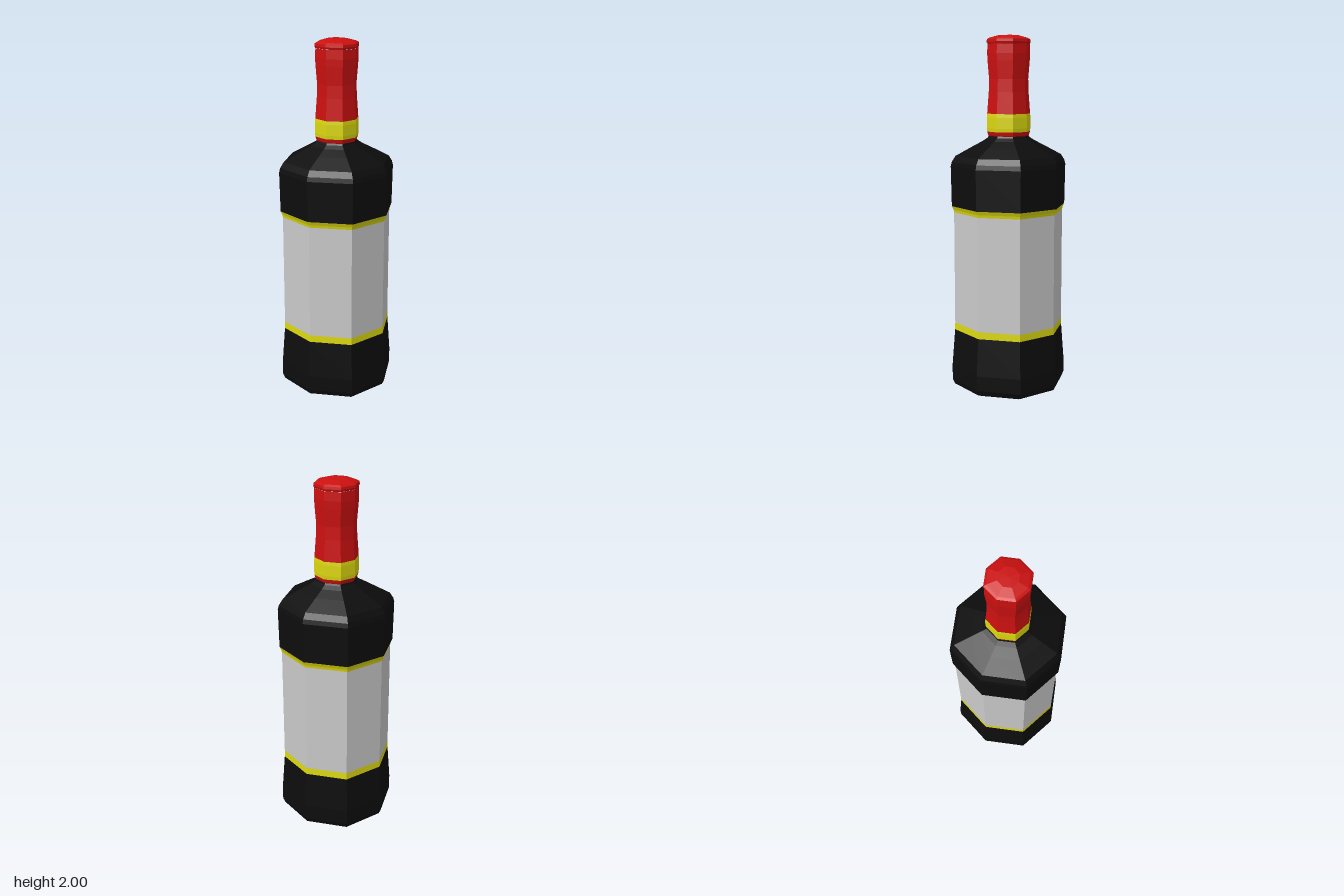
import * as THREE from 'three';

const material = (name, color, flatShading = true) => {
  const m = new THREE.MeshStandardMaterial({ color, flatShading });
  m.name = name;
  return m;
};

// Eight-sided turned band; the diagonal corners stand slightly further out
function band(name, mat, profile) {
  const geo = new THREE.LatheGeometry(profile.map(([r, y]) => new THREE.Vector2(r, y)), 8);
  const p = geo.attributes.position;
  for (let i = 0; i < p.count; i++) {
    const x = p.getX(i), z = p.getZ(i);
    if (Math.abs(x) > 1e-4 && Math.abs(z) > 1e-4) p.setXYZ(i, x * 1.035, p.getY(i), z * 1.035);
  }
  geo.computeVertexNormals();
  const mesh = new THREE.Mesh(geo, mat);
  mesh.name = name;
  return mesh;
}

export function createModel() {
  const black = material('black glass', 0x0d0d0d);
  const yellow = material('yellow trim', 0xdcd810);
  const paper = material('label paper', 0xcacaca);
  const red = material('red foil', 0xcc1010);

  const bottle = new THREE.Group();
  bottle.name = 'bottle';
  bottle.add(
    // Body, from the base up
    band('base', black, [[0, 0], [0.28, 0.004], [0.306, 0.015], [0.319, 0.045], [0.319, 0.13], [0.303, 0.34]]),
    band('lowerLabelTrim', yellow, [[0.303, 0.34], [0.302, 0.38]]),
    band('label', paper, [[0.302, 0.38], [0.302, 1.02]]),
    band('upperLabelTrim', yellow, [[0.302, 1.02], [0.305, 1.035], [0.314, 1.055]]),
    band('shoulder', black, [[0.314, 1.055], [0.318, 1.28], [0.312, 1.305], [0.292, 1.337],
      [0.2, 1.388], [0.14, 1.42], [0.115, 1.437], [0.108, 1.45]]),
    // Foil-wrapped neck
    band('neckFoot', red, [[0.108, 1.443], [0.113, 1.452], [0.118, 1.47]]),
    band('neckTrim', yellow, [[0.118, 1.47], [0.12, 1.49], [0.12, 1.55], [0.118, 1.57]]),
    band('neck', red, [[0.118, 1.57], [0.109, 1.69], [0.107, 1.76], [0.115, 1.86], [0.117, 1.9], [0.115, 1.95]]),
    // Cap with a projecting lip
    band('cap', red, [[0.107, 1.95], [0.116, 1.951], [0.12, 1.962], [0.118, 1.976], [0.105, 1.984],
      [0.055, 1.998], [0, 2]])
  );
  return bottle;
}
